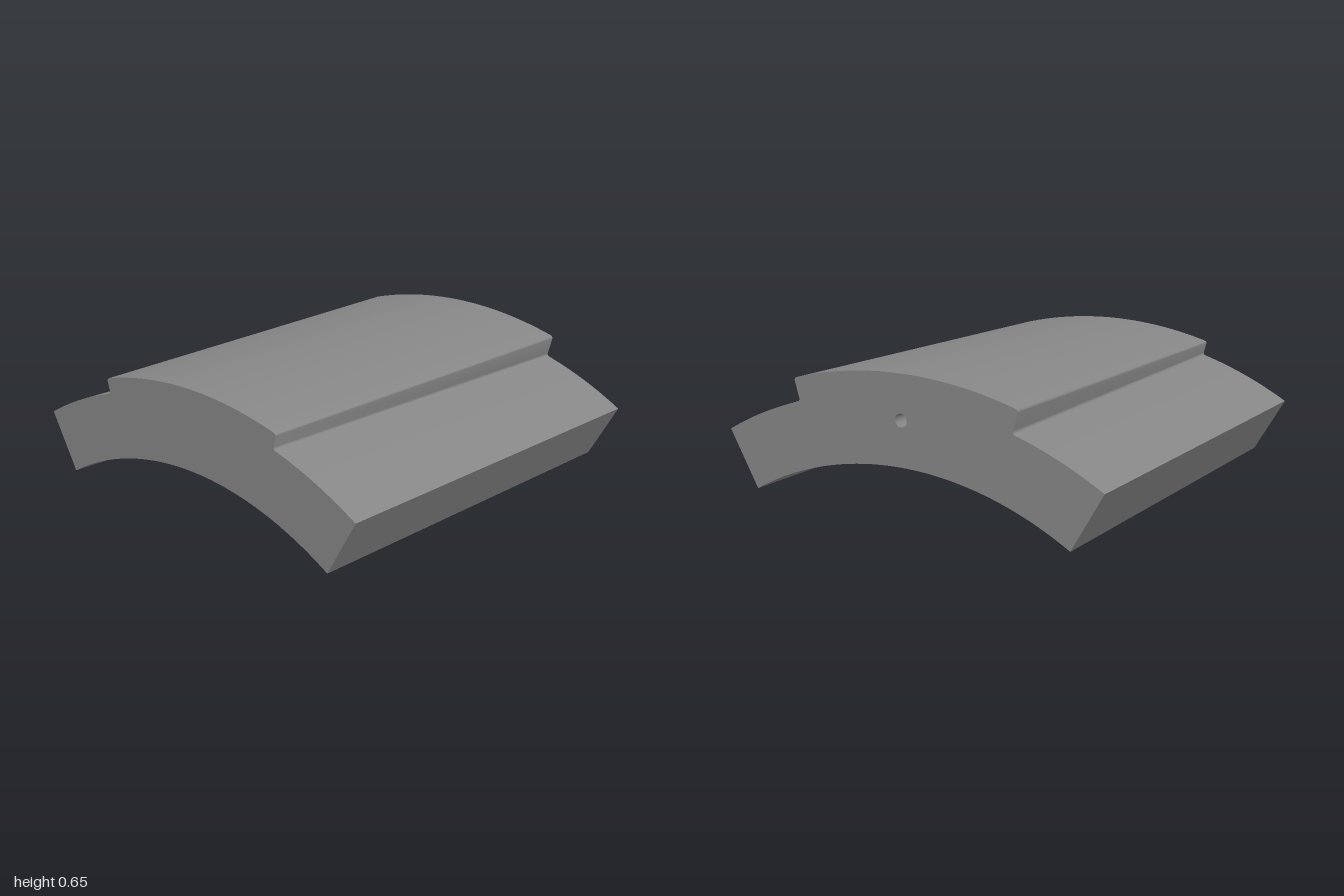
import * as THREE from 'three';
import { toCreasedNormals } from 'three/addons/utils/BufferGeometryUtils.js';

const HALF_DEPTH = 0.962;
const CENTRE_Y = -1.464; // axis of the concentric arcs
const INNER = 1.69, OUTER = 2.0, HALF_ANGLE = Math.PI / 6;
const FILLET = 0.014;
const HOLE = { y: 0.437, radius: 0.031, depth: 0.3 };

// point at an angle from vertical, on an arc of the given radius
const polar = (angle, radius) =>
  new THREE.Vector2(Math.sin(angle) * radius, Math.cos(angle) * radius + CENTRE_Y);

// counter-clockwise cross-section: curved slab with a raised central land
function profile(landAngle, landRadius) {
  const pts = [];
  for (let i = 0; i <= 64; i++) pts.push(polar(HALF_ANGLE * (i / 32 - 1), INNER));

  const right = [];
  const shoulderEnd = landAngle + FILLET / OUTER;
  for (let i = 0; i < 20; i++) {
    right.push(polar(THREE.MathUtils.lerp(HALF_ANGLE, shoulderEnd, i / 20), OUTER));
  }
  for (let i = 0; i <= 6; i++) { // concave fillet at the foot of the wall
    const t = (i / 6) * Math.PI / 2;
    right.push(polar(landAngle + FILLET / OUTER * (1 - Math.sin(t)), OUTER + FILLET * (1 - Math.cos(t))));
  }
  const roundStart = landAngle - FILLET / landRadius;
  for (let i = 0; i <= 6; i++) { // rounded upper edge
    const t = (i / 6) * Math.PI / 2;
    right.push(polar(roundStart + FILLET / landRadius * Math.cos(t), landRadius - FILLET * (1 - Math.sin(t))));
  }
  for (let i = 1; i < 24; i++) right.push(polar(roundStart * (1 - i / 24), landRadius));

  const left = right.map((p) => new THREE.Vector2(-p.x, p.y)).reverse();
  return [...pts, ...right, polar(0, landRadius), ...left];
}

// skin between the front and back cross-sections
function loft(front, back) {
  const pos = [];
  const n = front.length;
  for (let i = 0; i < n; i++) {
    const j = (i + 1) % n;
    const f0 = [front[i].x, front[i].y, HALF_DEPTH], f1 = [front[j].x, front[j].y, HALF_DEPTH];
    const b0 = [back[i].x, back[i].y, -HALF_DEPTH], b1 = [back[j].x, back[j].y, -HALF_DEPTH];
    pos.push(...f0, ...b0, ...f1, ...f1, ...b0, ...b1);
  }
  const geo = new THREE.BufferGeometry();
  geo.setAttribute('position', new THREE.Float32BufferAttribute(pos, 3));
  return toCreasedNormals(geo, 0.5);
}

export function createModel() {
  const group = new THREE.Group();
  group.name = 'arcSegment';
  const material = new THREE.MeshStandardMaterial({ color: 0x868686 });
  const add = (name, geometry, mat = material) => {
    const mesh = new THREE.Mesh(geometry, mat);
    mesh.name = name;
    group.add(mesh);
    return mesh;
  };

  // the land widens and rises towards the back
  const front = profile(0.272, 2.074);
  const back = profile(0.287, 2.109);
  add('curvedBody', loft(front, back));

  add('frontFace', new THREE.ShapeGeometry(new THREE.Shape(front))).position.z = HALF_DEPTH;

  // back face pierced by a small blind hole
  const backShape = new THREE.Shape(back);
  backShape.holes.push(new THREE.Path().absarc(0, HOLE.y, HOLE.radius, 0, Math.PI * 2, true));
  const backFace = add('backFace', new THREE.ShapeGeometry(backShape, 16));
  backFace.rotation.y = Math.PI;
  backFace.position.z = -HALF_DEPTH;

  const boreMaterial = material.clone();
  boreMaterial.side = THREE.DoubleSide;
  const bore = new THREE.CylinderGeometry(HOLE.radius, HOLE.radius, HOLE.depth, 32, 1, true);
  bore.rotateX(Math.PI / 2);
  add('holeWall', bore, boreMaterial).position.set(0, HOLE.y, -HALF_DEPTH + HOLE.depth / 2);
  add('holeFloor', new THREE.CircleGeometry(HOLE.radius, 32), boreMaterial)
    .position.set(0, HOLE.y, -HALF_DEPTH + HOLE.depth);

  return group;
}
